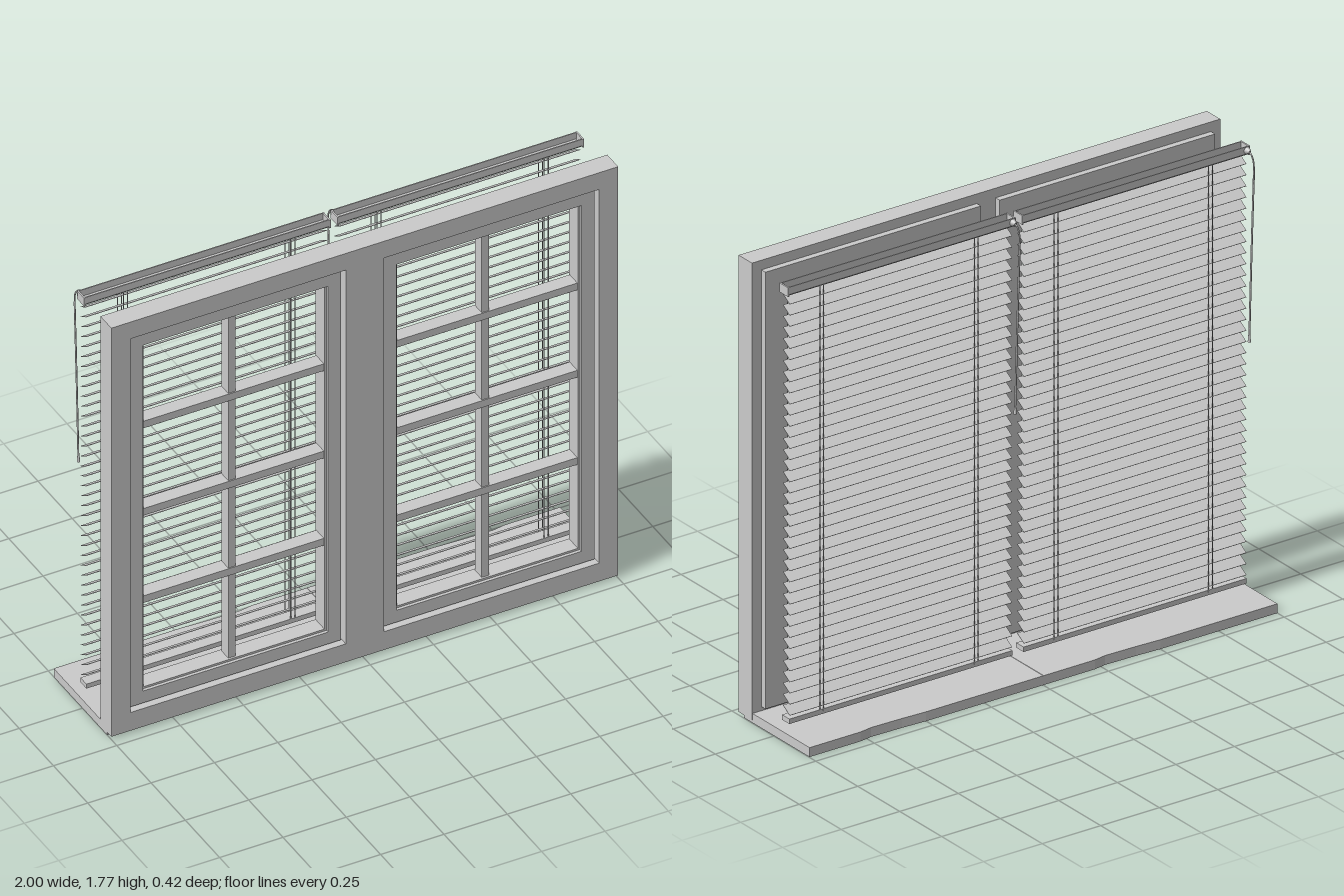
import * as THREE from 'three';

const mat = new THREE.MeshStandardMaterial({ color: 0xcccccc });

// Adds a named mesh to a parent
function add(parent, name, geometry, x = 0, y = 0, z = 0) {
  const mesh = new THREE.Mesh(geometry, mat);
  mesh.name = name;
  mesh.position.set(x, y, z);
  parent.add(mesh);
  return mesh;
}

// Box given by its extents
function block(parent, name, x0, x1, y0, y1, z0, z1) {
  return add(parent, name, new THREE.BoxGeometry(x1 - x0, y1 - y0, z1 - z0),
    (x0 + x1) / 2, (y0 + y1) / 2, (z0 + z1) / 2);
}

function rect(path, x0, x1, y0, y1) {
  path.moveTo(x0, y0);
  path.lineTo(x1, y0);
  path.lineTo(x1, y1);
  path.lineTo(x0, y1);
  path.closePath();
  return path;
}

// Rectangular ring: outer and inner extents [x0, x1, y0, y1], between z0 and z1
function ring(parent, name, outer, inner, z0, z1) {
  const shape = rect(new THREE.Shape(), ...outer);
  shape.holes.push(rect(new THREE.Path(), ...inner));
  const geo = new THREE.ExtrudeGeometry(shape, { depth: z1 - z0, bevelEnabled: false });
  return add(parent, name, geo, 0, 0, z0);
}

function tube(parent, name, points, radius, sides = 8) {
  const curve = new THREE.CatmullRomCurve3(points.map(p => new THREE.Vector3(...p)));
  return add(parent, name, new THREE.TubeGeometry(curve, 24, radius, sides));
}

// Profile in (z, y) pulled along x from x0 to x1
function pullAlongX(parent, name, profile, x0, x1) {
  const shape = new THREE.Shape(profile.map(([z, y]) => new THREE.Vector2(-z, y)));
  const geo = new THREE.ExtrudeGeometry(shape, { depth: x1 - x0, bevelEnabled: false });
  geo.rotateY(Math.PI / 2);
  return add(parent, name, geo, x0, 0, 0);
}

// Casement: fixed frame, sash and glazing bars (local x runs -0.5..0.5)
function buildWindow() {
  const g = new THREE.Group();
  g.name = 'window';
  const opening = [-0.365, 0.365, 0.15, 1.635];
  ring(g, 'frame', [-0.5, 0.5, 0.012, 1.767], [-0.425, 0.425, 0.09, 1.695], 0.13, 0.21);
  ring(g, 'sash', [-0.416, 0.416, 0.099, 1.686], opening, 0.13, 0.192);
  ring(g, 'sashLip', [-0.46, 0.46, 0.052, 1.73], opening, 0.106, 0.13);
  ring(g, 'glazingBead', opening, [-0.357, 0.357, 0.158, 1.627], 0.115, 0.18);
  block(g, 'verticalBar', -0.018, 0.01, 0.155, 1.63, 0.122, 0.172);
  for (const y of [0.53, 0.905, 1.28])
    block(g, 'horizontalBar', -0.36, 0.36, y - 0.015, y + 0.015, 0.12, 0.176);
  return g;
}

// Lever handle on the room side of the sash
function buildHandle() {
  const g = new THREE.Group();
  g.name = 'handle';
  block(g, 'handlePlate', -0.012, 0.012, 0.945, 1.02, 0.092, 0.107);
  const neck = add(g, 'handleNeck', new THREE.CylinderGeometry(0.008, 0.011, 0.03, 12), 0, 0.985, 0.08);
  neck.rotation.x = -Math.PI / 2;
  const lever = tube(g, 'handleLever', [[0, 0.985, 0.085], [0, 0.984, 0.065], [0, 0.972, 0.053],
    [0, 0.945, 0.049], [0, 0.905, 0.051], [0, 0.873, 0.059]], 0.007, 10);
  lever.scale.x = 1.4;
  add(g, 'handleTip', new THREE.SphereGeometry(0.008, 10, 8), 0, 0.873, 0.059);
  g.position.x = -0.415;
  return g;
}

// Venetian blind: rails, tilted slats, ladder cords and tilt wand
function buildBlind() {
  const g = new THREE.Group();
  g.name = 'blind';
  const zMid = -0.041, x0 = -0.485, x1 = 0.488;

  // Open channel head rail with rounded lower corners
  pullAlongX(g, 'headRail', [[-0.018, 1.745], [-0.018, 1.717], [-0.023, 1.71], [-0.06, 1.71],
    [-0.067, 1.717], [-0.067, 1.745], [-0.063, 1.745], [-0.063, 1.718], [-0.058, 1.714],
    [-0.025, 1.714], [-0.022, 1.718], [-0.022, 1.745]], x0, x1);
  for (const x of [x0, x1 - 0.006]) block(g, 'railEnd', x, x + 0.006, 1.71, 1.745, -0.068, -0.016);
  block(g, 'bottomRail', -0.475, 0.478, 0.064, 0.083, -0.062, -0.018);

  // Slats drop towards the room
  const count = 38;
  const slatGeo = new THREE.BoxGeometry(0.95, 0.0018, 0.047);
  for (let i = 0; i < count; i++) {
    const slat = add(g, 'slat', slatGeo, 0.001, 0.108 + i * 0.0427, zMid);
    slat.rotation.x = -0.56;
  }

  // Ladder cords on both faces of the slats
  for (const x of [-0.32, 0.34])
    for (const dx of [-0.008, 0.008])
      for (const z of [-0.0625, -0.0195])
        block(g, 'ladderCord', x + dx - 0.0015, x + dx + 0.0015, 0.075, 1.712, z - 0.001, z + 0.001);

  // Tilter and hanging wand
  const wx = -0.473;
  const tilter = add(g, 'tilter', new THREE.CylinderGeometry(0.005, 0.014, 0.018, 10), wx, 1.73, -0.075);
  tilter.rotation.x = -Math.PI / 2;
  tube(g, 'wandHook', [[wx, 1.73, -0.08], [wx, 1.722, -0.093], [wx, 1.7, -0.105],
    [wx, 1.66, -0.108], [wx, 1.6, -0.106]], 0.003);
  tube(g, 'wand', [[wx, 1.67, -0.108], [wx, 1.34, -0.093], [wx, 1.01, -0.08]], 0.0035);
  add(g, 'wandEnd', new THREE.CylinderGeometry(0.004, 0.006, 0.026, 10), wx, 1.012, -0.08);
  return g;
}

// Sill board with a shallow worn dip in its room-side edge
function buildSill() {
  const shape = new THREE.Shape([[-0.5, -0.18], [0.498, -0.18], [0.498, 0.21], [0.28, 0.21],
    [0.23, 0.202], [0.1, 0.205], [0, 0.21], [-0.5, 0.21]].map(p => new THREE.Vector2(...p)));
  const geo = new THREE.ExtrudeGeometry(shape, { depth: 0.036, bevelEnabled: false });
  geo.rotateX(-Math.PI / 2);
  const sill = new THREE.Mesh(geo, mat);
  sill.name = 'sill';
  return sill;
}

export function createModel() {
  const model = new THREE.Group();
  model.name = 'doubleWindow';
  // Two identical bays side by side
  for (const [name, x] of [['rightBay', -0.5], ['leftBay', 0.5]]) {
    const bay = new THREE.Group();
    bay.name = name;
    bay.add(buildWindow(), buildHandle(), buildBlind(), buildSill());
    bay.position.x = x;
    model.add(bay);
  }
  return model;
}
